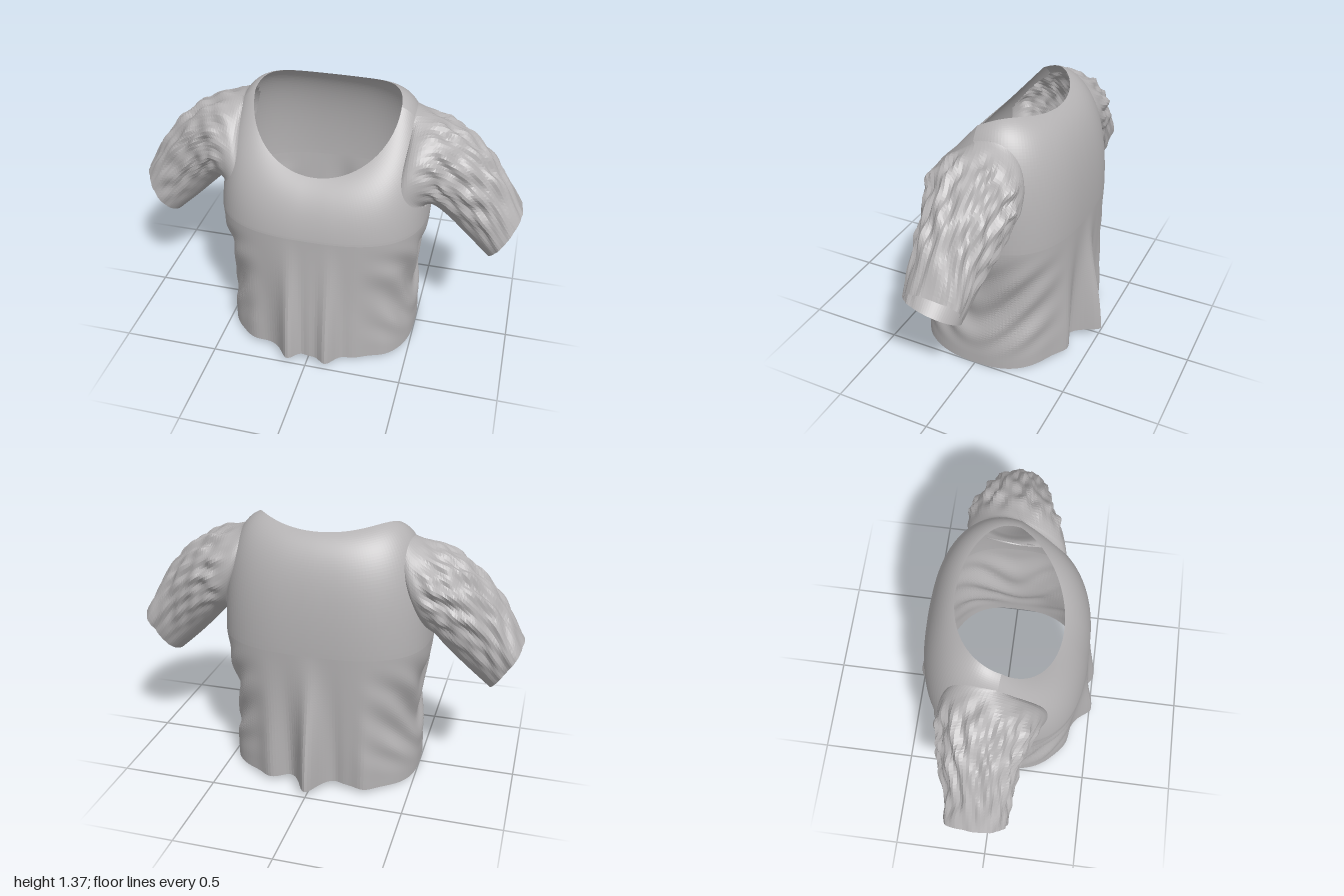
import * as THREE from 'three';

const cloth = new THREE.MeshStandardMaterial({ color: 0xb4b2b3, side: THREE.DoubleSide, flatShading: true });
cloth.name = 'grey cloth';

const { lerp, smoothstep } = THREE.MathUtils;
const V = (x, y, z) => new THREE.Vector3(x, y, z);
const bump = (x, centre, width) => Math.exp(-(((x - centre) / width) ** 2));

// Joins loops of points into an open tube; skip(angle, v) leaves holes.
function loft(name, rows, cols, pointAt, flip, skip = () => false) {
  const points = [], index = [];
  const turn = (i) => (i / cols) * Math.PI * 2;
  for (let j = 0; j <= rows; j++) {
    for (let i = 0; i < cols; i++) points.push(pointAt(turn(i), j / rows));
  }
  for (let j = 0; j < rows; j++) {
    for (let i = 0; i < cols; i++) {
      if (skip(turn(i + 0.5), (j + 0.5) / rows)) continue;
      const k = (i + 1) % cols;
      const a = j * cols + i, b = j * cols + k, c = a + cols, d = b + cols;
      if (flip) index.push(a, c, b, b, c, d);
      else index.push(a, b, c, b, d, c);
    }
  }
  const geometry = new THREE.BufferGeometry().setFromPoints(points);
  geometry.setIndex(index);
  geometry.computeVertexNormals();
  const mesh = new THREE.Mesh(geometry, cloth);
  mesh.name = name;
  return mesh;
}

// Horizontal rounded outline of the body; angle 0 faces the front.
function bodyPoint(angle, y) {
  const s = Math.sin(angle), c = Math.cos(angle), front = c > 0;
  const a = 0.5 - 0.025 * bump(y, 0.36, 0.16) + 0.035 * smoothstep(y, 0.45, 0.8);
  const b = front ? 0.425 : lerp(0.385, 0.41, y / 0.8);
  const n = 2.7;
  const r = (Math.abs(s / a) ** n + Math.abs(c / b) ** n) ** (-1 / n);
  let x = s * r, z = c * r;

  // Hanging folds, deepest at the hem
  const hang = 1 - smoothstep(y, 0, 0.8);
  if (front) {
    z += hang * (0.085 * (bump(x, -0.09, 0.05) + bump(x, 0.11, 0.05)) + 0.035 * bump(x, 0, 0.05));
    z += 0.012 * hang * Math.sin(x * 34) * bump(x, 0, 0.4);
  } else {
    z -= hang * (0.125 * bump(x, 0, 0.055) + 0.035 * (bump(x, 0.22, 0.06) + bump(x, -0.28, 0.06)));
    z += 0.018 * hang * bump(Math.abs(x), 0.12, 0.04);
  }
  // Swags draped between chest and back under each arm
  const side = smoothstep(Math.abs(s), 0.5, 0.9);
  const band = smoothstep(y, 0.06, 0.25) * (1 - smoothstep(y, 0.55, 0.76));
  const sag = Math.hypot(z, 0.1);
  const swag = Math.sin(26 * (y - 1.3 * sag) + Math.sin(7 * z + 5 * y));
  const k = 1 + 0.022 * side * band * swag;
  return V(x * k, y, z * k);
}

// Neckline: low in front, high at the back
function neckPoint(angle) {
  const s = Math.sin(angle), c = Math.cos(angle);
  const r = 1 / Math.hypot(s / 0.365, c / 0.26);
  const x = s * r, z = c * r, t = z / 0.26;
  const y = t > 0 ? 1.33 - 0.295 * t : 1.33 + 0.005 * t * t + 0.04 * Math.sin(Math.PI * -t);
  return V(x, y, z + 0.02);
}

// Body from hem to armpits, then curving in over chest and shoulders
function torsoPoint(angle, v) {
  const split = 0.58, armpit = 0.76;
  const c = Math.cos(angle);
  if (v <= split) return bodyPoint(angle, lerp(0.005 + 0.04 * c * c, armpit, v / split));
  const start = bodyPoint(angle, armpit), end = neckPoint(angle);
  const inward = 0.965 - 0.035 * c;
  const control = V(start.x * inward, end.y - 0.05 - 0.04 * c * c, start.z * inward);
  return new THREE.QuadraticBezierCurve3(start, control, end).getPoint((v - split) / (1 - split));
}

// Armhole: an oval on the torso surface around each side
const hole = { v: 0.755, halfV: 0.145, halfAngle: 0.52 };
function inArmhole(angle, v) {
  const fromFront = Math.acos(Math.cos(angle));
  return Math.hypot((fromFront - Math.PI / 2) / hole.halfAngle, (v - hole.v) / hole.halfV) < 0.96;
}

// Sleeve stations: upper edge with its front depth, lower edge with its back depth
const upper = new THREE.CatmullRomCurve3([
  V(0.43, 1.29, 0.24), V(0.56, 1.255, 0.2), V(0.71, 1.175, 0.155), V(0.86, 1.025, 0.13), V(0.995, 0.8, 0.12)]);
const lower = new THREE.CatmullRomCurve3([
  V(0.5, 0.83, -0.29), V(0.55, 0.82, -0.27), V(0.62, 0.75, -0.25), V(0.72, 0.65, -0.21), V(0.84, 0.54, -0.17)]);

function sleevePoint(sign) {
  return (angle, v) => {
    const top = upper.getPoint(v), bottom = lower.getPoint(v);
    const c = Math.cos(angle), s = Math.sin(angle);
    // Crumpled folds running down the sleeve, calm underneath and at the ends
    const amount = smoothstep(v, 0.08, 0.3) * (1 - 0.65 * smoothstep(v, 0.75, 1)) * smoothstep(c, -0.9, 0.1);
    const fold = Math.sin(11 * angle + 3 * Math.sin(8 * v + sign)) + 0.7 * Math.sin(19 * angle - 14 * v + sign)
      + 0.5 * Math.sin(31 * v + 5 * angle);
    const k = 1 + 0.045 * amount * (fold - 0.4);
    const h = 0.5 + 0.5 * c * k;
    const zc = (top.z + bottom.z) / 2, half = (top.z - bottom.z) / 2;
    // The rear upper corner of the cuff flares out
    const flare = 0.05 * smoothstep(v, 0.75, 1) * bump(angle, 5.5, 0.5);
    const point = V(sign * lerp(bottom.x, top.x, h), lerp(bottom.y, top.y, h), zc + half * s * k - flare);
    // Grows out of the armhole edge
    const root = torsoPoint(sign * (Math.PI / 2 - hole.halfAngle * s), hole.v + hole.halfV * c);
    return root.lerp(point, smoothstep(v, -0.08, 0.28) * Math.min(1, v / 0.06));
  };
}

export function createModel() {
  const shirt = new THREE.Group();
  shirt.name = 'shirt';
  shirt.add(loft('torso', 90, 180, torsoPoint, false, inArmhole));
  shirt.add(loft('leftSleeve', 44, 80, sleevePoint(1), true));
  shirt.add(loft('rightSleeve', 44, 80, sleevePoint(-1), false));
  return shirt;
}
